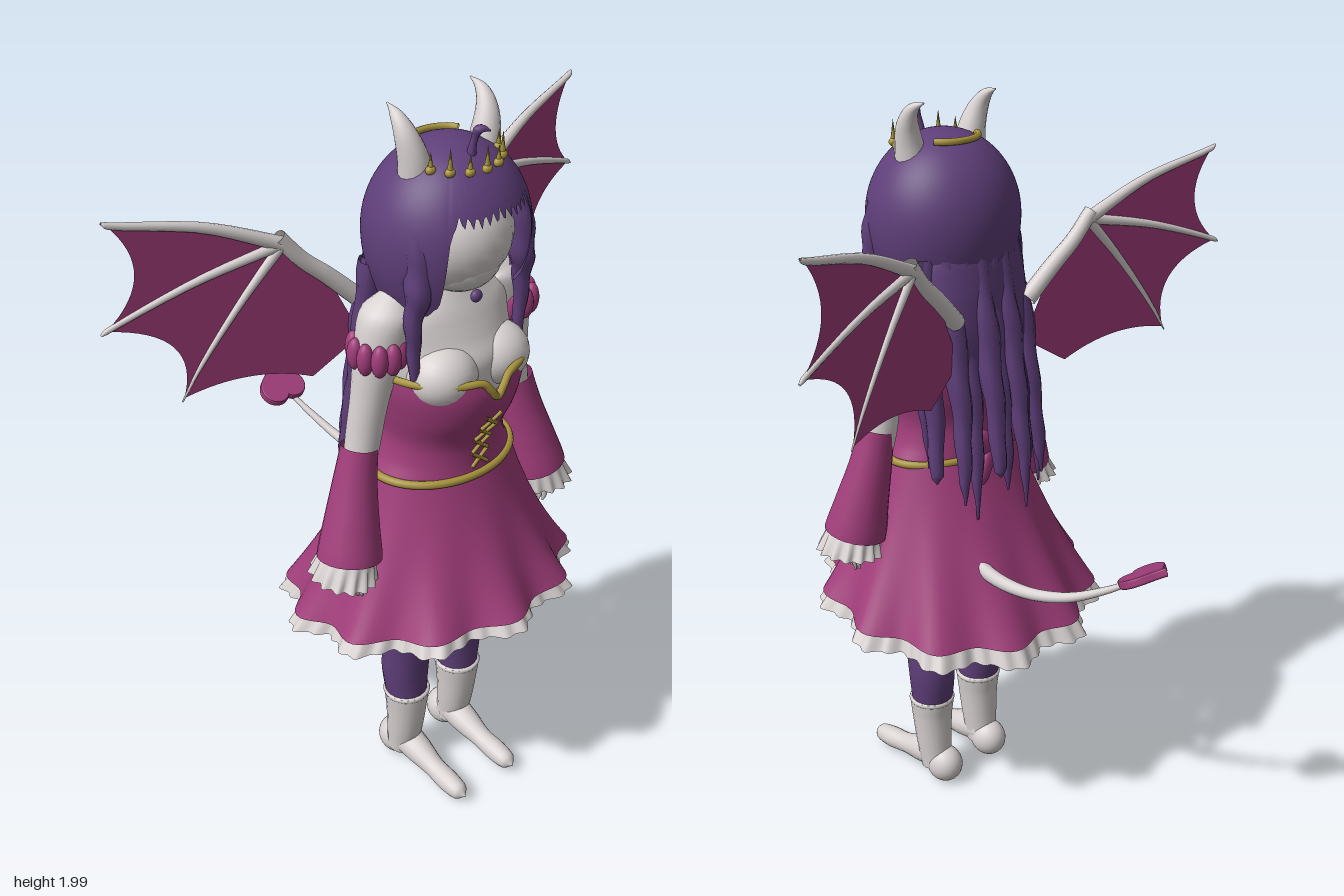
import * as THREE from 'three';

const mat = (name, color) => {
  const m = new THREE.MeshStandardMaterial({ color, side: THREE.DoubleSide });
  m.name = name;
  return m;
};
const V = (x, y, z) => new THREE.Vector3(x, y, z);
const TAU = Math.PI * 2;

// Smooth interpolation of a table [key, a, b, ...] sorted by key
function at(rows, y) {
  const n = rows.length - 1;
  let i = 0;
  while (i < n - 1 && y > rows[i + 1][0]) i++;
  const t = THREE.MathUtils.clamp((y - rows[i][0]) / (rows[i + 1][0] - rows[i][0]), 0, 1);
  const p = rows[Math.max(i - 1, 0)], q = rows[i], r = rows[i + 1], s = rows[Math.min(i + 2, n)];
  return q.map((_, k) => 0.5 * (2 * q[k] + (r[k] - p[k]) * t + (2 * p[k] - 5 * q[k] + 4 * r[k] - s[k]) * t * t
    + (3 * q[k] - p[k] - 3 * r[k] + s[k]) * t * t * t));
}

// Surface closed around angle a, open along t (0..1, bottom to top)
function ring(fn, nu, nv) {
  const pos = [], idx = [];
  for (let j = 0; j <= nv; j++) for (let i = 0; i < nu; i++) pos.push(...fn(i / nu * TAU, j / nv));
  for (let j = 0; j < nv; j++) for (let i = 0; i < nu; i++) {
    const a = j * nu + i, b = j * nu + (i + 1) % nu;
    idx.push(a, b, b + nu, a, b + nu, a + nu);
  }
  const g = new THREE.BufferGeometry();
  g.setAttribute('position', new THREE.Float32BufferAttribute(pos, 3));
  g.setIndex(idx);
  g.computeVertexNormals();
  return g;
}

// Stack of ellipses, rows [y, rx, rz, zc]
const loft = (rows, nu = 32, nv = 24) => ring((a, t) => {
  const y = THREE.MathUtils.lerp(rows[0][0], rows[rows.length - 1][0], t), r = at(rows, y);
  return [r[1] * Math.sin(a), y, r[3] + r[2] * Math.cos(a)];
}, nu, nv);

// Tube whose radius varies; points are [x, y, z, radius]
function taper(pts, nu = 12, nv = 20, wobble = () => 1) {
  const c = new THREE.CatmullRomCurve3(pts.map(p => V(p[0], p[1], p[2])));
  const f = c.computeFrenetFrames(nv, false), rows = pts.map((p, i) => [i, p[3]]);
  return ring((a, t) => {
    const j = Math.round(t * nv), r = Math.max(at(rows, t * (pts.length - 1))[1], 0.001) * wobble(a, t);
    const p = c.getPoint(t).addScaledVector(f.normals[j], r * Math.cos(a)).addScaledVector(f.binormals[j], r * Math.sin(a));
    return p.toArray();
  }, nu, nv);
}

export function createModel() {
  const root = new THREE.Group();
  const pale = mat('pale', 0xd8d2d1), pink = mat('rose', 0xa03d7a), purple = mat('violet', 0x5f3f7a), gold = mat('gold', 0xa8943c);
  const add = (name, geo, m, parent = root) => {
    const mesh = new THREE.Mesh(geo, m);
    mesh.name = name;
    parent.add(mesh);
    return mesh;
  };
  const ball = (name, m, p, s) => {
    const b = add(name, new THREE.SphereGeometry(1, 24, 16), m);
    b.position.set(...p);
    b.scale.set(...s);
    return b;
  };
  const cord = (name, pts, r, m, closed = false) =>
    add(name, new THREE.TubeGeometry(new THREE.CatmullRomCurve3(pts, closed), pts.length * 3, r, 8, closed), m);

  // Head, neck and chest
  ball('head', pale, [0, 1.685, 0.235], [0.15, 0.14, 0.155]);
  ball('chin', pale, [0, 1.635, 0.265], [0.105, 0.092, 0.11]);
  add('chest', loft([[1.28, 0.17, 0.15, 0.22], [1.38, 0.18, 0.155, 0.22], [1.43, 0.18, 0.13, 0.22],
    [1.5, 0.175, 0.1, 0.22], [1.55, 0.11, 0.075, 0.22], [1.63, 0.05, 0.05, 0.22]]), pale);
  for (const s of [-1, 1]) ball('bust', pale, [s * 0.085, 1.355, 0.315], [0.09, 0.08, 0.085]);
  ball('chokerGem', purple, [0, 1.545, 0.335], [0.016, 0.016, 0.012]);

  // Bodice with a notched neckline
  const body = [[1.05, 0.203, 0.155, 0.215], [1.1, 0.178, 0.15, 0.215], [1.16, 0.167, 0.15, 0.22],
    [1.24, 0.182, 0.18, 0.225], [1.31, 0.196, 0.195, 0.225], [1.37, 0.196, 0.19, 0.225]];
  const bodyAt = (a, y, k = 1) => {
    const r = at(body, y);
    return [k * r[1] * Math.sin(a), y, r[3] + k * r[2] * Math.cos(a) * (Math.cos(a) < 0 ? 0.85 : 1)];
  };
  const neckline = a => 1.36 - (Math.cos(a) > 0 ? 0.05 * Math.max(0, 1 - Math.abs(Math.sin(a)) / 0.22) : 0);
  add('bodice', ring((a, t) => bodyAt(a, 1.05 + (neckline(a) - 1.05) * t), 80, 24), pink);
  const loop = yOf => Array.from({ length: 64 }, (_, i) => V(...bodyAt(i / 64 * TAU, yOf(i / 64 * TAU), 1.01)));
  cord('necklineTrim', loop(neckline), 0.01, gold, true);
  cord('belt', loop(() => 1.06), 0.011, gold, true);
  for (let i = 0; i < 4; i++) for (const s of [-1, 1]) {
    const y = 1.085 + i * 0.042;
    cord('lacing', [0, 0.5, 1].map(t => V(s * (0.025 - 0.05 * t), y + 0.04 * t, bodyAt(0, y + 0.04 * t)[2] + 0.003)), 0.005, gold);
  }
  // Bow at the back
  for (const s of [-1, 1]) {
    ball('bowLoop', pink, [s * 0.055, 1.12, 0.045], [0.055, 0.035, 0.022]).rotation.z = s * 0.3;
    ball('bowTail', pink, [s * 0.035, 1.05, 0.04], [0.02, 0.055, 0.012]).rotation.z = s * 0.35;
  }
  ball('bowKnot', pink, [0, 1.11, 0.04], [0.022, 0.022, 0.022]);

  // Skirt: lobed cone with a tilted hem, and a pleated petticoat below it
  const skirtAt = (a, d, k, ripple) => {
    const e = 0.75 * d + 0.25 * d * d;
    const w = k * (1 + 0.055 * d * d * Math.cos(11 * a + 0.5)) + ripple * Math.cos(44 * a);
    const z = 0.215 - 0.03 * e + (0.155 + 0.195 * e) * Math.cos(a) * w;
    const hem = 0.63 + (z + 0.18) * 0.14 - (1 - d) * 0.02;
    return [(0.203 + 0.18 * e) * Math.sin(a) * w, 1.06 + (hem - 0.03 - 1.06) * d, z];
  };
  add('skirt', ring((a, t) => skirtAt(a, 1 - t, 1, 0), 132, 20), pink);
  add('petticoat', ring((a, t) => {
    const d = 1.1 - t * 0.8;
    return skirtAt(a, d, 0.93 + 0.03 * d, 0.016 * d);
  }, 264, 16), pale);

  for (const s of [-1, 1]) {
    // Legs and boots
    add('leg', taper([[s * 0.095, 0.26, 0.21, 0.058], [s * 0.097, 0.36, 0.205, 0.066], [s * 0.097, 0.46, 0.215, 0.068],
      [s * 0.095, 0.58, 0.22, 0.082], [s * 0.095, 0.85, 0.215, 0.085]], 20), purple);
    add('bootShaft', taper([[s * 0.095, 0.05, 0.195, 0.045], [s * 0.095, 0.14, 0.205, 0.052],
      [s * 0.095, 0.22, 0.21, 0.058], [s * 0.095, 0.28, 0.21, 0.064]], 20), pale);
    add('bootRim', new THREE.TorusGeometry(0.058, 0.008, 8, 24).rotateX(Math.PI / 2).translate(s * 0.095, 0.275, 0.21), pale);
    ball('heel', pale, [s * 0.092, 0.06, 0.165], [0.05, 0.055, 0.055]);
    add('foot', taper([[s * 0.092, 0.085, 0.18, 0.045], [s * 0.091, 0.066, 0.26, 0.04], [s * 0.091, 0.05, 0.33, 0.03],
      [s * 0.092, 0.043, 0.39, 0.031], [s * 0.092, 0.039, 0.44, 0.024], [s * 0.092, 0.038, 0.462, 0.001]], 16), pale);

    // Arm, puffed band, sleeve, cuff and hand
    add('arm', taper([[s * 0.13, 1.555, 0.225, 0.03], [s * 0.175, 1.52, 0.225, 0.065], [s * 0.205, 1.43, 0.225, 0.06],
      [s * 0.23, 1.3, 0.22, 0.048], [s * 0.25, 1.17, 0.215, 0.044], [s * 0.29, 1.0, 0.23, 0.035], [s * 0.315, 0.87, 0.265, 0.026]], 20, 30), pale);
    for (let i = 0; i < 10; i++) {
      const a = i / 10 * TAU;
      ball('armBandPuff', pink, [s * 0.213 + 0.052 * Math.sin(a), 1.43, 0.227 + 0.06 * Math.cos(a)], [0.021, 0.042, 0.021]);
    }
    add('sleeve', taper([[s * 0.322, 0.885, 0.25, 0.083], [s * 0.305, 0.97, 0.238, 0.071],
      [s * 0.283, 1.07, 0.225, 0.057], [s * 0.26, 1.175, 0.217, 0.047]], 24), pink);
    add('cuff', ring((a, t) => {
      const r = 0.088 - 0.018 * t + (1 - t) * 0.008 * Math.cos(14 * a);
      return [s * (0.345 - 0.02 * t) + r * Math.sin(a) * 0.88, 0.835 + 0.07 * t + s * Math.sin(a) * 0.01, 0.25 + r * Math.cos(a)];
    }, 84, 5), pale);
    ball('palm', pale, [s * 0.315, 0.85, 0.265], [0.02, 0.04, 0.03]);
    for (let i = 0; i < 4; i++) {
      const z = 0.245 + i * 0.016;
      add('finger', taper([[s * 0.315, 0.84, z, 0.009], [s * 0.322, 0.8, z + 0.002, 0.008], [s * 0.318, 0.765 + Math.abs(i - 1) * 0.008, z, 0.003]], 8, 8), pale);
    }

    // Wing: scalloped membrane swept back, held by tapering bones
    const sweep = x => 0.035 - 0.24 * (x - 0.2);
    const wing = new THREE.Shape();
    wing.moveTo(s * 0.2, 1.53);
    wing.lineTo(s * 0.32, 1.66);
    wing.quadraticCurveTo(s * 0.5, 1.745, s * 0.715, 1.79);
    wing.quadraticCurveTo(s * 0.6, 1.65, s * 0.74, 1.53);
    wing.quadraticCurveTo(s * 0.52, 1.48, s * 0.575, 1.305);
    wing.quadraticCurveTo(s * 0.41, 1.35, s * 0.25, 1.275);
    wing.lineTo(s * 0.12, 1.36);
    const wg = new THREE.ShapeGeometry(wing, 16), p = wg.attributes.position;
    for (let i = 0; i < p.count; i++) p.setZ(i, sweep(Math.abs(p.getX(i))));
    wg.computeVertexNormals();
    add('wingMembrane', wg, pink);
    const bone = (pts, r0, r1) => add('wingBone', taper(pts.map(([x, y], i) =>
      [s * x, y, sweep(x), THREE.MathUtils.lerp(r0, r1, i / (pts.length - 1))]), 10, 14), pale);
    bone([[0.13, 1.47], [0.21, 1.55], [0.27, 1.605], [0.325, 1.675]], 0.024, 0.019);
    bone([[0.315, 1.655], [0.5, 1.737], [0.715, 1.79], [0.725, 1.797]], 0.018, 0.003);
    bone([[0.315, 1.655], [0.53, 1.605], [0.74, 1.53], [0.752, 1.523]], 0.014, 0.003);
    bone([[0.315, 1.655], [0.42, 1.53], [0.53, 1.38], [0.58, 1.296]], 0.014, 0.002);

    // Horns
    add('horn', taper([[s * 0.1, 1.83, 0.23, 0.042], [s * 0.11, 1.89, 0.23, 0.036], [s * 0.123, 1.945, 0.218, 0.026],
      [s * 0.127, 1.98, 0.193, 0.015], [s * 0.124, 1.997, 0.158, 0.002]], 16), pale);
  }

  // Hair cap with a zigzag fringe and long sides
  const hem = a => {
    const b = Math.abs(a > Math.PI ? a - TAU : a);
    const tooth = Math.abs(((b * 9) % 1) - 0.5) * 2;
    const fringe = 1.757 + 0.035 * tooth;
    return THREE.MathUtils.lerp(fringe, 1.545 + 0.015 * Math.cos(b * 16), THREE.MathUtils.smoothstep(b, 0.6, 0.8));
  };
  add('hairCap', ring((a, t) => {
    const y = 1.91 - (1.91 - hem(a)) * (1 - t) ** 2;
    const h = (y - 1.69) / 0.22;
    const r = h > 0 ? Math.sqrt(Math.max(0, 1 - h * h)) : 1 - 0.35 * h * h;
    return [0.205 * r * Math.sin(a), y, 0.225 + 0.195 * r * Math.cos(a)];
  }, 180, 28), purple);
  add('hairBack', loft([[1.3, 0.13, 0.03, 0.06], [1.42, 0.15, 0.05, 0.075], [1.52, 0.165, 0.08, 0.11],
    [1.6, 0.17, 0.11, 0.15], [1.66, 0.15, 0.11, 0.16]]), purple);

  // Hanging strands
  const strand = (name, pts) => add(name, taper(pts, 10, 28, (a, t) => 1 + 0.1 * Math.sin(t * 28 + a)), purple);
  for (let i = 0; i < 9; i++) {
    const u = i / 4 - 1, tip = 0.92 + 0.06 * (i % 3), z = 0.07 * u * u, b = i % 2 ? -0.015 : 0.01;
    strand('backStrand', [[u * 0.15, 1.62, 0.07 + z, 0.03], [u * 0.165, 1.42, 0.045 + z + b, 0.034],
      [u * 0.175, 1.22, 0.01 + z + b, 0.026], [u * 0.19, 1.06, -0.01 + z + b, 0.017], [u * 0.195, tip, -0.015 + z + b, 0.003]]);
  }
  for (const s of [-1, 1]) {
    strand('sideStrand', [[s * 0.165, 1.62, 0.15, 0.03], [s * 0.18, 1.4, 0.13, 0.026], [s * 0.175, 1.2, 0.12, 0.018], [s * 0.168, 1.06, 0.12, 0.003]]);
    strand('frontLock', [[s * 0.155, 1.74, 0.3, 0.03], [s * 0.16, 1.62, 0.315, 0.034], [s * 0.172, 1.52, 0.31, 0.022],
      [s * 0.168, 1.4, 0.31, 0.014], [s * 0.165, 1.28, 0.31, 0.003]]);
  }
  add('hairCurl', taper([[0, 1.88, 0.3, 0.012], [0.005, 1.925, 0.305, 0.008], [0.012, 1.95, 0.315, 0.012], [0.03, 1.945, 0.33, 0.002]], 8, 12), purple);

  // Tiara points and rear band
  for (let i = -3; i <= 3; i++) {
    const a = i * 0.4, x = 0.11 * Math.sin(a), z = 0.24 + 0.115 * Math.cos(a);
    const h = i % 2 ? 0.05 : 0.065;
    add('tiaraPoint', new THREE.ConeGeometry(0.009, h, 8).translate(x, 1.865 + h / 2, z), gold);
    ball('tiaraBead', gold, [x, 1.872, z], [0.013, 0.011, 0.011]);
  }
  cord('tiaraBand', Array.from({ length: 9 }, (_, i) => {
    const a = (i / 4 - 1) * 1.2;
    return V(0.08 * Math.sin(a), 1.893, 0.2 - 0.065 * Math.cos(a));
  }), 0.009, gold);

  // Tail with a spade tip
  add('tail', taper([[0.115, 0.83, 0.04, 0.02], [0.117, 0.785, -0.05, 0.02], [0.1, 0.768, -0.16, 0.017], [0.073, 0.788, -0.28, 0.014],
    [0.042, 0.84, -0.39, 0.01], [0.02, 0.885, -0.46, 0.007]], 12, 28), pale);
  const spade = new THREE.Shape();
  spade.moveTo(0, 0.012);
  spade.bezierCurveTo(0.03, -0.02, 0.075, 0.01, 0.065, 0.05);
  spade.bezierCurveTo(0.055, 0.085, 0.02, 0.085, 0, 0.12);
  spade.bezierCurveTo(-0.02, 0.085, -0.055, 0.085, -0.065, 0.05);
  spade.bezierCurveTo(-0.075, 0.01, -0.03, -0.02, 0, 0.012);
  const tip = add('tailTip', new THREE.ExtrudeGeometry(spade, { depth: 0.012, bevelSize: 0.004, bevelThickness: 0.006, bevelSegments: 2 }), pink);
  tip.position.set(0.005, 0.875, -0.44);
  tip.rotation.x = -1.09;

  return root;
}
